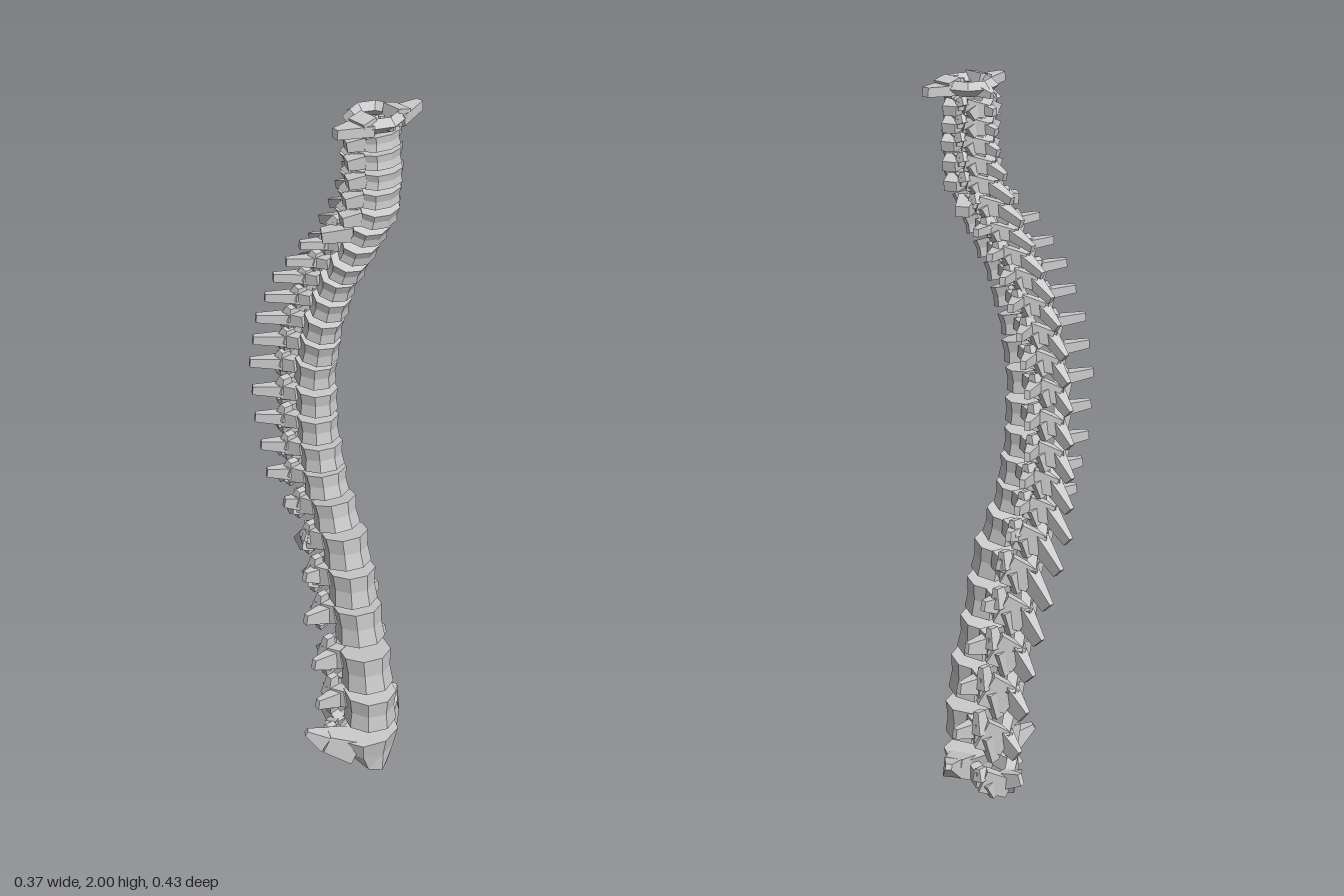
import * as THREE from 'three';

const mat = new THREE.MeshStandardMaterial({ color: 0xcccccc, flatShading: true });
const V = (x, y, z) => new THREE.Vector3(x, y, z);

// vertebra heights from the tail end to the neck
const LEVELS = [0.205, 0.34, 0.475, 0.597, 0.713, 0.815, 0.905, 0.985, 1.065, 1.15, 1.235, 1.31,
  1.38, 1.45, 1.515, 1.57, 1.628, 1.687, 1.74, 1.79, 1.84, 1.887, 1.932];
const NECK = 1.66; // neck vertebrae start above this height

// y, x, z, half width, half depth, height, transverse reach, transverse z, spine z, spine y
const KEYS = [
  [0.055, 0.01, 0.105, 0.092, 0.073, 0.10, 0.13, -0.075, -0.19, 0.02],
  [0.205, 0.01, 0.11, 0.073, 0.073, 0.095, 0.132, -0.07, -0.18, -0.055],
  [0.34, 0.0, 0.104, 0.07, 0.073, 0.105, 0.13, -0.07, -0.19, -0.065],
  [0.475, 0.0, 0.072, 0.066, 0.07, 0.10, 0.13, -0.07, -0.18, -0.075],
  [0.713, -0.02, 0.042, 0.063, 0.065, 0.09, 0.075, -0.085, -0.195, -0.09],
  [0.905, -0.042, -0.014, 0.06, 0.058, 0.068, 0.11, -0.11, -0.19, -0.08],
  [1.065, -0.048, -0.037, 0.056, 0.055, 0.064, 0.113, -0.12, -0.165, -0.07],
  [1.235, -0.055, -0.036, 0.054, 0.055, 0.06, 0.12, -0.12, -0.152, -0.06],
  [1.38, -0.058, -0.003, 0.052, 0.051, 0.052, 0.12, -0.12, -0.165, -0.06],
  [1.515, -0.052, 0.045, 0.052, 0.046, 0.048, 0.115, -0.11, -0.17, -0.05],
  [1.628, -0.035, 0.105, 0.055, 0.042, 0.042, 0.112, -0.09, -0.18, -0.035],
  [1.74, -0.025, 0.165, 0.058, 0.038, 0.038, 0.085, -0.04, -0.175, -0.035],
  [1.84, -0.022, 0.176, 0.056, 0.036, 0.037, 0.08, -0.04, -0.14, -0.02],
  [1.98, -0.02, 0.163, 0.054, 0.034, 0.036, 0.078, -0.04, -0.11, -0.005],
];

function sample(y) {
  let i = 0;
  while (i < KEYS.length - 2 && y > KEYS[i + 1][0]) i++;
  const a = KEYS[i], b = KEYS[i + 1];
  const t = (y - a[0]) / (b[0] - a[0]);
  return a.map((v, k) => v + (b[k] - v) * t);
}

function addMesh(group, name, geo) {
  const mesh = new THREE.Mesh(geo, mat);
  mesh.name = name;
  group.add(mesh);
  return mesh;
}

// tapered four-sided bar from a to b with [width, height] at each end
function bar(group, name, a, b, s0, s1) {
  const dir = b.clone().sub(a), len = dir.length();
  dir.normalize();
  const ref = Math.abs(dir.y) > 0.85 ? V(0, 0, 1) : V(0, 1, 0);
  const right = ref.cross(dir).normalize(), up = dir.clone().cross(right);
  const geo = new THREE.BoxGeometry(1, 1, 1), p = geo.attributes.position;
  for (let i = 0; i < p.count; i++) {
    const t = p.getZ(i) + 0.5;
    const w = p.getX(i) * THREE.MathUtils.lerp(s0[0], s1[0], t);
    const h = p.getY(i) * THREE.MathUtils.lerp(s0[1], s1[1], t);
    const q = a.clone().addScaledVector(dir, t * len).addScaledVector(right, w).addScaledVector(up, h);
    p.setXYZ(i, q.x, q.y, q.z);
  }
  geo.computeVertexNormals();
  addMesh(group, name, geo);
}

// eight-sided waisted drum, flattened toward the canal
function bodyGeometry(hw, hd, h) {
  const geo = new THREE.CylinderGeometry(1, 1, h, 8, 2), p = geo.attributes.position;
  for (let i = 0; i < p.count; i++) {
    const waist = Math.abs(p.getY(i)) < h * 0.1 ? 0.92 : 1;
    const z = Math.max(p.getZ(i), -0.88);
    p.setXYZ(i, p.getX(i) * hw * waist, p.getY(i), z * hd * waist);
  }
  geo.computeVertexNormals();
  return geo;
}

// arch behind a body: pedicles, laminae, joints and the spinous process
function addArch(g, hd, h, hw, tipZ, tipY, gap, plate) {
  const back = -hd - 0.026, root = Math.max(-hd - 0.068, tipZ * 0.75);
  for (const s of [-1, 1]) {
    const joint = V(s * hw * 0.82, h * 0.1, back);
    bar(g, 'pedicle', V(s * hw * 0.6, h * 0.2, -hd * 0.6), joint, [0.03, h * 0.55], [0.036, h * 0.65]);
    bar(g, 'lamina', joint, V(0, -h * 0.3, root), [0.03, h * plate], [0.026, h * plate * 0.85]);
    bar(g, 'upperJoint', joint, V(s * hw * 0.8, gap * 0.55, back + 0.008), [0.042, 0.036], [0.026, 0.018]);
    bar(g, 'lowerJoint', V(s * hw * 0.65, 0, back - 0.012), V(s * hw * 0.45, -gap * 0.58, back - 0.022),
      [0.042, 0.032], [0.028, 0.018]);
  }
  bar(g, 'spinousProcess', V(0, -h * 0.1, root + 0.02), V(0, tipY, tipZ),
    [0.04, h * plate * 0.75], [0.014, h * plate * 0.5]);
}

function vertebra(y, index) {
  const [, x, z, hw, hd, h, reach, tz, sz, sy] = sample(y);
  const neck = y > NECK;
  const g = new THREE.Group();
  g.name = 'vertebra' + (index + 1);
  g.position.set(x, y, z);
  const gap = (LEVELS[index + 1] ?? y + 0.045) - y;

  // body tilts to follow the curve of the column
  const tilt = Math.atan((sample(y + 0.05)[2] - sample(y - 0.05)[2]) / 0.1);
  addMesh(g, 'body', bodyGeometry(hw, hd, h)).rotation.x = tilt * 0.8;
  addArch(g, hd, h, hw, sz, sy, gap, neck ? 1.1 : 0.9);

  // short chunky side processes in the neck, long tapered ones below
  for (const s of [-1, 1]) {
    if (neck) {
      bar(g, 'transverseProcess', V(s * hw * 0.6, 0, -hd * 0.5), V(s * reach, -h * 0.2, tz),
        [0.05, h * 0.95], [0.035, h * 0.7]);
    } else {
      bar(g, 'transverseProcess', V(s * hw * 0.6, h * 0.1, Math.max(-hd - 0.015, tz)),
        V(s * reach, h * 0.25, tz), [0.04, h * 0.55], [0.015, h * 0.15 + 0.014]);
    }
  }
  return g;
}

// blunt wedge-shaped lowest segment with rising side wings
function baseSegment() {
  const [, x, z, hw, hd, h, , , sz, sy] = sample(0.055);
  const g = new THREE.Group();
  g.name = 'baseSegment';
  g.position.set(x, 0.062, z);
  const geo = bodyGeometry(hw, hd, h), p = geo.attributes.position;
  for (let i = 0; i < p.count; i++) {
    const t = 0.5 - p.getY(i) / h;
    const px = p.getX(i), pz = p.getZ(i);
    p.setX(i, px * (1 + 0.25 * t - 0.7 * t * t));
    p.setZ(i, pz * (1 - 0.18 * t));
    p.setY(i, p.getY(i) + t * (Math.max(0, hd * 0.6 - pz) * 0.4 + Math.abs(px) * 0.15 - 0.012));
  }
  geo.computeVertexNormals();
  addMesh(g, 'body', geo);
  addArch(g, hd, h * 0.75, hw * 0.8, sz, sy, 0.075, 0.9);
  for (const s of [-1, 1]) {
    const elbow = V(s * 0.122, 0.048, -0.045);
    bar(g, 'wingRoot', V(s * 0.05, 0.012, -0.01), elbow, [0.08, 0.075], [0.05, 0.052]);
    bar(g, 'wingTip', elbow, V(s * 0.165, 0.08, -0.075), [0.05, 0.052], [0.018, 0.016]);
  }
  return g;
}

// ring-shaped topmost vertebra with broad side processes
function topRing() {
  const g = new THREE.Group();
  g.name = 'topRing';
  g.position.set(-0.02, 1.977, 0.14);
  const ring = new THREE.TorusGeometry(0.055, 0.017, 4, 8);
  ring.rotateX(Math.PI / 2);
  ring.scale(1.05, 1.1, 1.05);
  addMesh(g, 'ring', ring);
  bar(g, 'frontPoint', V(0, 0, 0.045), V(0, -0.006, 0.072), [0.05, 0.03], [0.008, 0.012]);
  bar(g, 'backPoint', V(0, -0.004, -0.05), V(0, -0.014, -0.085), [0.045, 0.03], [0.012, 0.016]);
  for (const s of [-1, 1]) {
    bar(g, 'sideMass', V(s * 0.045, -0.022, 0.02), V(s * 0.055, 0.02, 0.02), [0.035, 0.05], [0.04, 0.055]);
    bar(g, 'sideProcess', V(s * 0.045, -0.006, 0.02), V(s * 0.134, 0, 0.014), [0.07, 0.026], [0.02, 0.024]);
  }
  // peg of the vertebra below, rising inside the ring
  const peg = addMesh(g, 'peg', new THREE.CylinderGeometry(0.008, 0.017, 0.055, 6));
  peg.position.set(0, -0.015, 0.026);
  return g;
}

export function createModel() {
  const model = new THREE.Group();
  model.name = 'spine';
  model.add(baseSegment());
  LEVELS.forEach((y, i) => model.add(vertebra(y, i)));
  model.add(topRing());
  return model;
}
